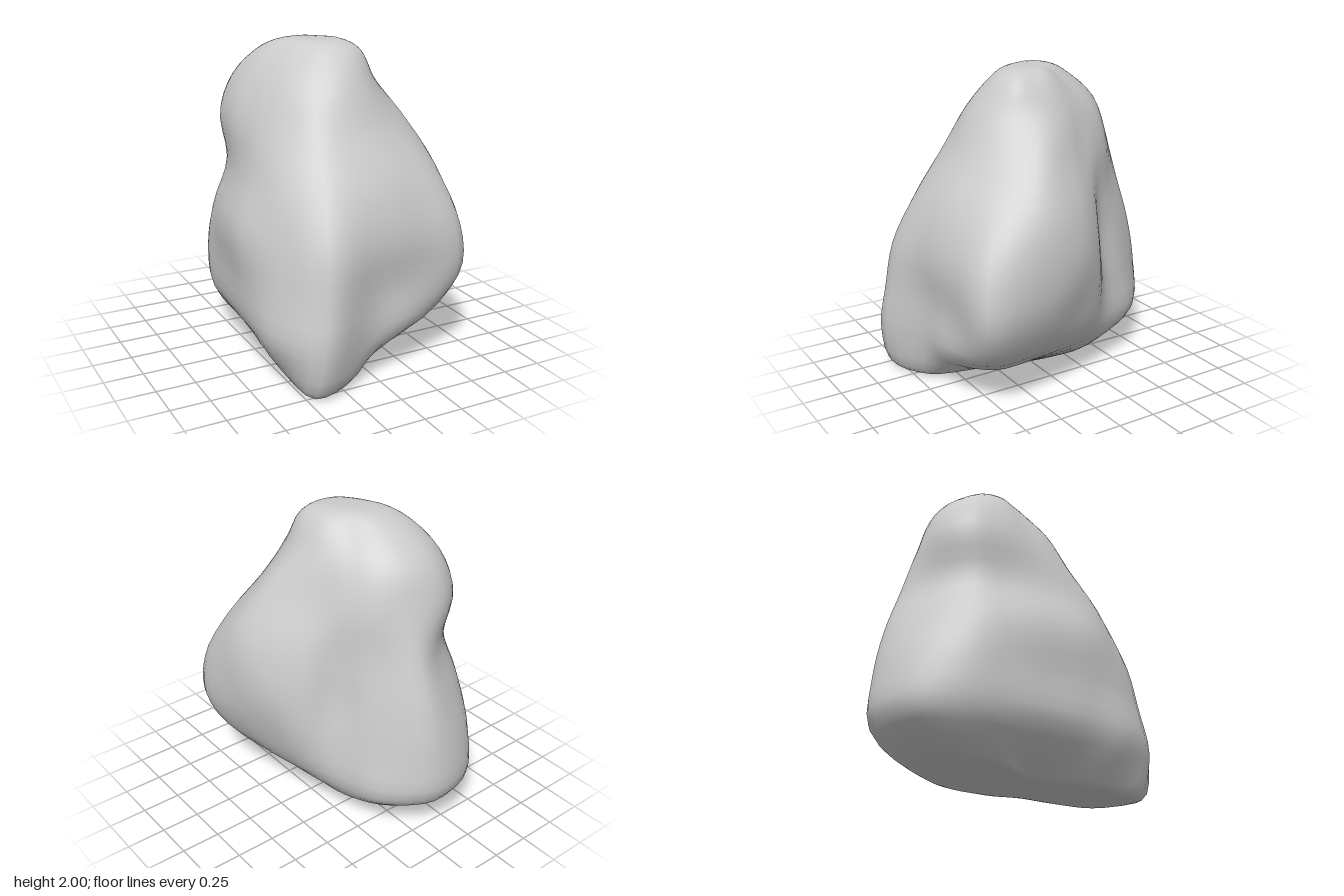
import * as THREE from 'three';
import { mergeVertices } from 'three/addons/utils/BufferGeometryUtils.js';

// Height and centre (y, x, z) of each horizontal section of the boulder
const LEVELS = [
  [0.08, -0.15, 0.05], [0.3, -0.08, 0], [0.6, -0.05, 0], [0.9, -0.05, 0],
  [1.2, -0.05, 0], [1.5, -0.07, -0.03], [1.75, -0.08, -0.06], [1.93, -0.06, -0.03],
];

// Radii of each section, every 22.5 degrees from +x towards +z
const RADII = [
  [.28, .25, .27, .38, .64, .81, .50, .30, .25, .28, .43, .61, .70, .59, .47, .34],
  [.50, .58, .77, .77, .75, .95, .79, .61, .55, .58, .71, .86, .87, .73, .56, .50],
  [.60, .73, .95, .78, .75, .92, .79, .67, .61, .64, .77, .86, .86, .67, .53, .56],
  [.66, .77, .93, .80, .77, .86, .74, .68, .63, .64, .71, .76, .80, .61, .48, .56],
  [.61, .73, .77, .71, .69, .71, .65, .57, .53, .54, .61, .65, .70, .54, .46, .51],
  [.47, .58, .57, .55, .54, .54, .49, .46, .46, .52, .62, .64, .58, .50, .43, .41],
  [.35, .40, .43, .45, .45, .41, .37, .34, .35, .42, .50, .51, .46, .39, .33, .32],
  [.23, .26, .31, .30, .27, .24, .21, .21, .23, .29, .34, .32, .27, .21, .18, .20],
];

const AROUND = 64;
const UP = 40;

// Smooth closed outline of one section; the lowest one tilts down to the front foot
function outline([y, cx, cz], radii, scale = 1, tilt = 0) {
  const points = radii.map((r, k) => {
    const a = (k / radii.length) * Math.PI * 2;
    const z = cz + Math.sin(a) * r * scale;
    return new THREE.Vector3(cx + Math.cos(a) * r * scale, y - tilt * z, z);
  });
  const curve = new THREE.CatmullRomCurve3(points, true);
  return Array.from({ length: AROUND }, (_, j) => curve.getPoint(j / AROUND));
}

function createBoulderGeometry() {
  const last = LEVELS.length - 1;
  const rings = [
    outline([0.04, -0.2, 0.15], RADII[0], 0.001),
    outline([0.05, -0.18, 0.1], RADII[0], 0.65, 0.06),
    ...LEVELS.map((level, i) => outline(level, RADII[i], 1, i === 0 ? 0.07 : 0)),
    outline([1.99, -0.05, -0.01], RADII[last], 0.6),
    outline([2, -0.05, -0.01], RADII[last], 0.001),
  ];

  // Run a smooth curve up through the sections at every angle
  const positions = [];
  for (let j = 0; j < AROUND; j++) {
    const column = new THREE.CatmullRomCurve3(rings.map((ring) => ring[j]));
    for (let i = 0; i <= UP; i++) {
      const p = column.getPoint(i / UP);
      positions.push(p.x, THREE.MathUtils.clamp(p.y, 0, 2), p.z);
    }
  }

  // Join neighbouring columns, wrapping at the seam
  const indices = [];
  for (let j = 0; j < AROUND; j++) {
    for (let i = 0; i < UP; i++) {
      const a = j * (UP + 1) + i;
      const b = ((j + 1) % AROUND) * (UP + 1) + i;
      indices.push(a, a + 1, b, b, a + 1, b + 1);
    }
  }

  const geometry = new THREE.BufferGeometry();
  geometry.setAttribute('position', new THREE.Float32BufferAttribute(positions, 3));
  geometry.setIndex(indices);
  const merged = mergeVertices(geometry, 0.002);
  merged.computeVertexNormals();
  return merged;
}

export function createModel() {
  const group = new THREE.Group();
  group.name = 'rock';
  const boulder = new THREE.Mesh(
    createBoulderGeometry(),
    new THREE.MeshStandardMaterial({ color: 0xcccccc })
  );
  boulder.name = 'boulder';
  group.add(boulder);
  return group;
}
